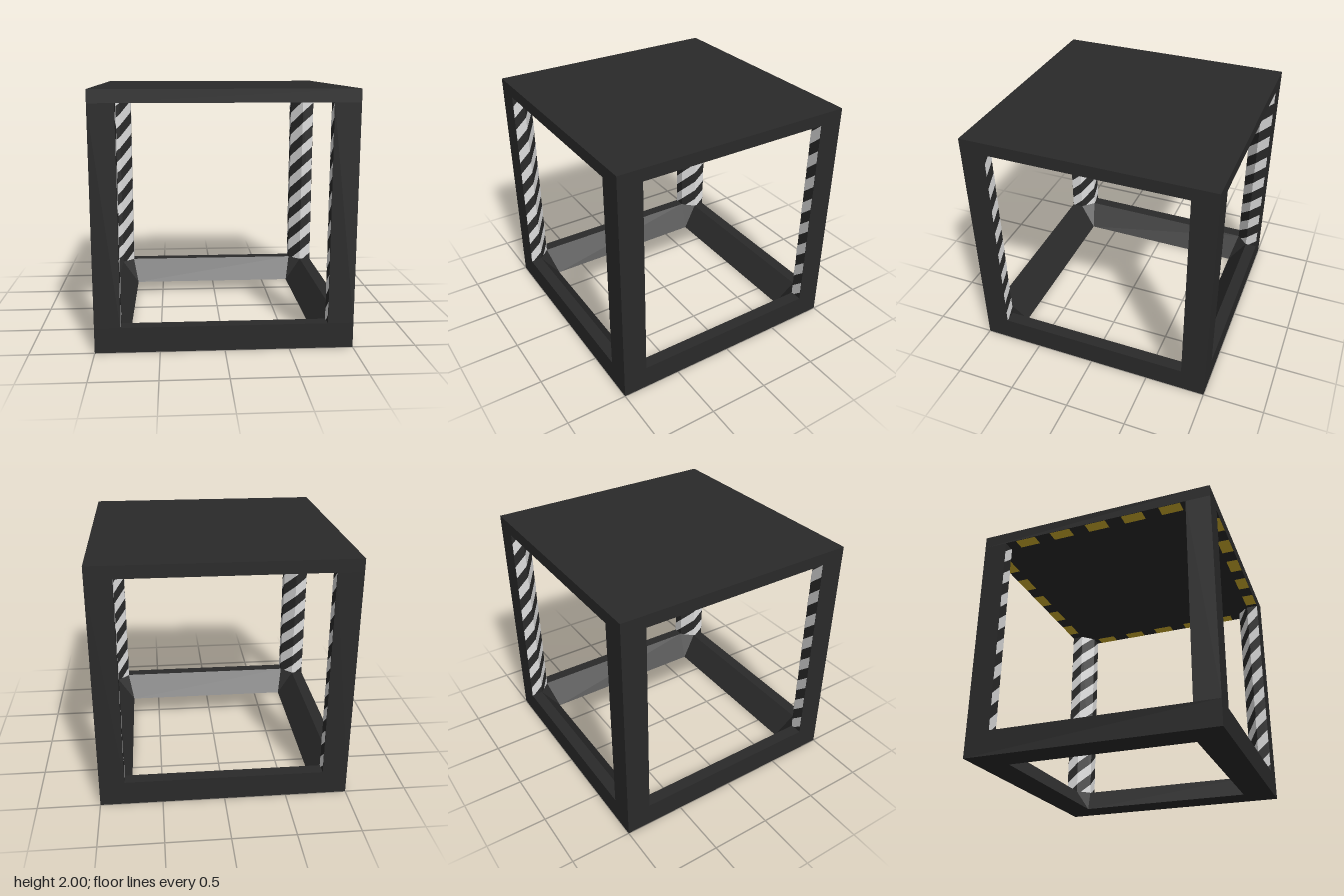
import * as THREE from 'three';

const frameDark = new THREE.MeshStandardMaterial({ color: 0x2a2a2a });
frameDark.name = 'frame dark';
const stripeLight = new THREE.MeshStandardMaterial({ color: 0xdedede });
stripeLight.name = 'stripe light';
const hazardYellow = new THREE.MeshStandardMaterial({ color: 0xdab82e });
hazardYellow.name = 'hazard yellow';

// Flat faces from convex corner loops, counter-clockwise seen from the front
function facesGeometry(faces) {
  const pos = [];
  for (const f of faces) {
    for (let i = 1; i < f.length - 1; i++) pos.push(...f[0], ...f[i], ...f[i + 1]);
  }
  const g = new THREE.BufferGeometry();
  g.setAttribute('position', new THREE.Float32BufferAttribute(pos, 3));
  g.computeVertexNormals();
  return g;
}

// Trims a loop to the heights between lo and hi
function clipHeight(loop, lo, hi) {
  for (const [limit, sign] of [[lo, 1], [hi, -1]]) {
    const out = [];
    loop.forEach((a, i) => {
      const b = loop[(i + 1) % loop.length];
      const da = (a[1] - limit) * sign, db = (b[1] - limit) * sign;
      if (da >= 0) out.push(a);
      if (da * db < 0) {
        const t = da / (da - db);
        out.push(a.map((v, k) => v + (b[k] - v) * t));
      }
    });
    loop = out;
  }
  return loop;
}

const BASE = 0.2, CEILING = 1.9;

// One side of the base ring, with its sloped inner wall and corner facet
function baseSide() {
  return facesGeometry([
    [[-1, 0, 1], [1, 0, 1], [1, BASE, 1], [-1, BASE, 1]],
    [[-0.8, BASE, 1], [0.8, BASE, 1], [0.8, BASE, 0.9], [-0.8, BASE, 0.9]],
    [[-0.8, BASE, 0.9], [0.8, BASE, 0.9], [0.75, 0, 0.75], [-0.75, 0, 0.75]],
    [[-1, 0, 1], [-0.75, 0, 0.75], [0.75, 0, 0.75], [1, 0, 1]],
    [[0.8, BASE, 0.9], [0.9, BASE, 0.8], [0.75, 0, 0.75]],
  ]);
}

// Corner post with a chamfered inner edge
function postGeometry() {
  const pts = [[1, 1], [0.8, 1], [0.8, 0.9], [0.9, 0.8], [1, 0.8]];
  const shape = new THREE.Shape(pts.map(([x, z]) => new THREE.Vector2(x, -z)));
  const g = new THREE.ExtrudeGeometry(shape, { depth: CEILING - BASE, bevelEnabled: false });
  return g.rotateX(-Math.PI / 2).translate(0, BASE, 0);
}

// Slanted stripes wrapping the three inner faces of a post
function postStripes() {
  const d = 0.0015, period = 0.218, height = 0.109;
  const path = [[1, 0.8], [0.9, 0.8], [0.8, 0.9], [0.8, 1]].map(([x, z]) => [x - d, z - d]);
  const drop = [0.3, 0.21, 0.09, 0];
  const faces = [];
  for (let k = -2; k < 9; k++) {
    for (let s = 0; s < 3; s++) {
      const [x0, z0] = path[s], [x1, z1] = path[s + 1];
      const top0 = CEILING - k * period - drop[s], top1 = CEILING - k * period - drop[s + 1];
      const loop = clipHeight([
        [x0, top0 - height, z0], [x1, top1 - height, z1], [x1, top1, z1], [x0, top0, z0],
      ], BASE, CEILING);
      if (loop.length > 2) faces.push(loop);
    }
  }
  return facesGeometry(faces);
}

// Hazard dashes along one edge of the ceiling
function ceilingDashes() {
  const y = CEILING - 0.002, half = 0.09, faces = [];
  for (let k = 0; k < 5; k++) {
    const x = -0.615 + 0.32 * k;
    faces.push([
      [x - half, y, 0.999], [x - half, y, 0.9], [x + half, y, 0.9], [x + half, y, 0.999],
    ]);
  }
  return facesGeometry(faces);
}

export function createModel() {
  const model = new THREE.Group();
  model.name = 'openCubeFrame';

  // Roof slab
  const roof = new THREE.Mesh(new THREE.BoxGeometry(2, 2 - CEILING, 2), frameDark);
  roof.name = 'roof';
  roof.position.y = (2 + CEILING) / 2;
  model.add(roof);

  // Parts repeated on the four sides
  const parts = [
    ['baseSide', baseSide(), frameDark],
    ['cornerPost', postGeometry(), frameDark],
    ['postStripes', postStripes(), stripeLight],
    ['ceilingDashes', ceilingDashes(), hazardYellow],
  ];
  for (let i = 0; i < 4; i++) {
    const side = new THREE.Group();
    side.name = `side${i + 1}`;
    side.rotation.y = (i * Math.PI) / 2;
    for (const [name, geometry, material] of parts) {
      const mesh = new THREE.Mesh(geometry, material);
      mesh.name = name;
      side.add(mesh);
    }
    model.add(side);
  }
  return model;
}
